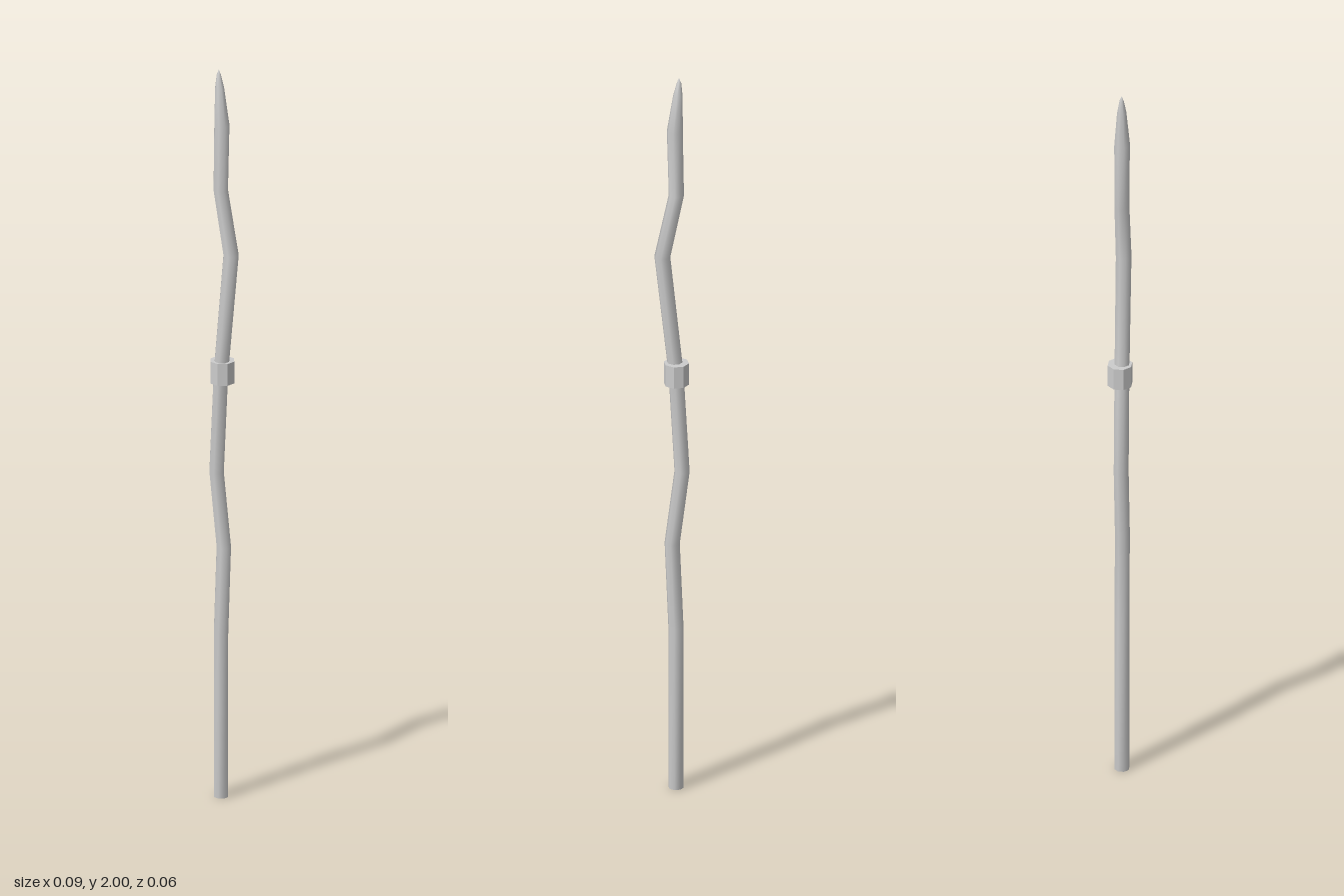
import * as THREE from 'three';
import { mergeVertices } from 'three/addons/utils/BufferGeometryUtils.js';

const SIDES = 8;
const CENTER_Z = 0.004;

// Cross-sections of the crooked shaft, bottom to top: [y, centre x, radius]
const SECTIONS = [
  [0, -0.011, 0.02], [0.45, -0.011, 0.02], [0.69, -0.001, 0.02],
  [0.89, -0.027, 0.02], [1.17, -0.011, 0.02], [1.5, 0.025, 0.021],
  [1.67, -0.012, 0.02], [1.85, -0.008, 0.021], [1.95, -0.016, 0.0125],
  [1.985, -0.019, 0.006], [2, -0.019, 0],
];

// Skin the sections with an open tube, welded so that the sides shade smoothly
function shaftGeometry() {
  const n = SECTIONS.length - 1;
  const geo = new THREE.CylinderGeometry(1, 1, 1, SIDES, n, true, Math.PI / SIDES);
  const pos = geo.attributes.position;
  for (let i = 0; i < pos.count; i++) {
    const [y, x, r] = SECTIONS[Math.round((pos.getY(i) + 0.5) * n)];
    pos.setXYZ(i, x + pos.getX(i) * r, y, CENTER_Z + pos.getZ(i) * r);
  }
  geo.deleteAttribute('uv');
  geo.deleteAttribute('normal');
  const welded = mergeVertices(geo, 1e-5);
  welded.computeVertexNormals();
  return welded;
}

export function createModel() {
  const group = new THREE.Group();
  const add = (name, geometry, material) => {
    const mesh = new THREE.Mesh(geometry, material);
    mesh.name = name;
    group.add(mesh);
    return mesh;
  };
  const smooth = new THREE.MeshStandardMaterial({ color: 0xcccccc });
  const faceted = new THREE.MeshStandardMaterial({ color: 0xcccccc, flatShading: true });

  // Crooked shaft, sharpened at the top
  add('shaft', shaftGeometry(), smooth);

  // Flat foot closing the shaft
  const foot = new THREE.CircleGeometry(SECTIONS[0][2], SIDES, Math.PI / SIDES);
  foot.rotateX(Math.PI / 2);
  add('foot', foot, faceted).position.set(SECTIONS[0][1], 0, CENTER_Z);

  // Faceted collar around the middle
  const collar = new THREE.CylinderGeometry(0.033, 0.033, 0.06, SIDES, 1, false, Math.PI / SIDES);
  add('collar', collar, faceted).position.set(-0.011, 1.17, -0.001);

  return group;
}
